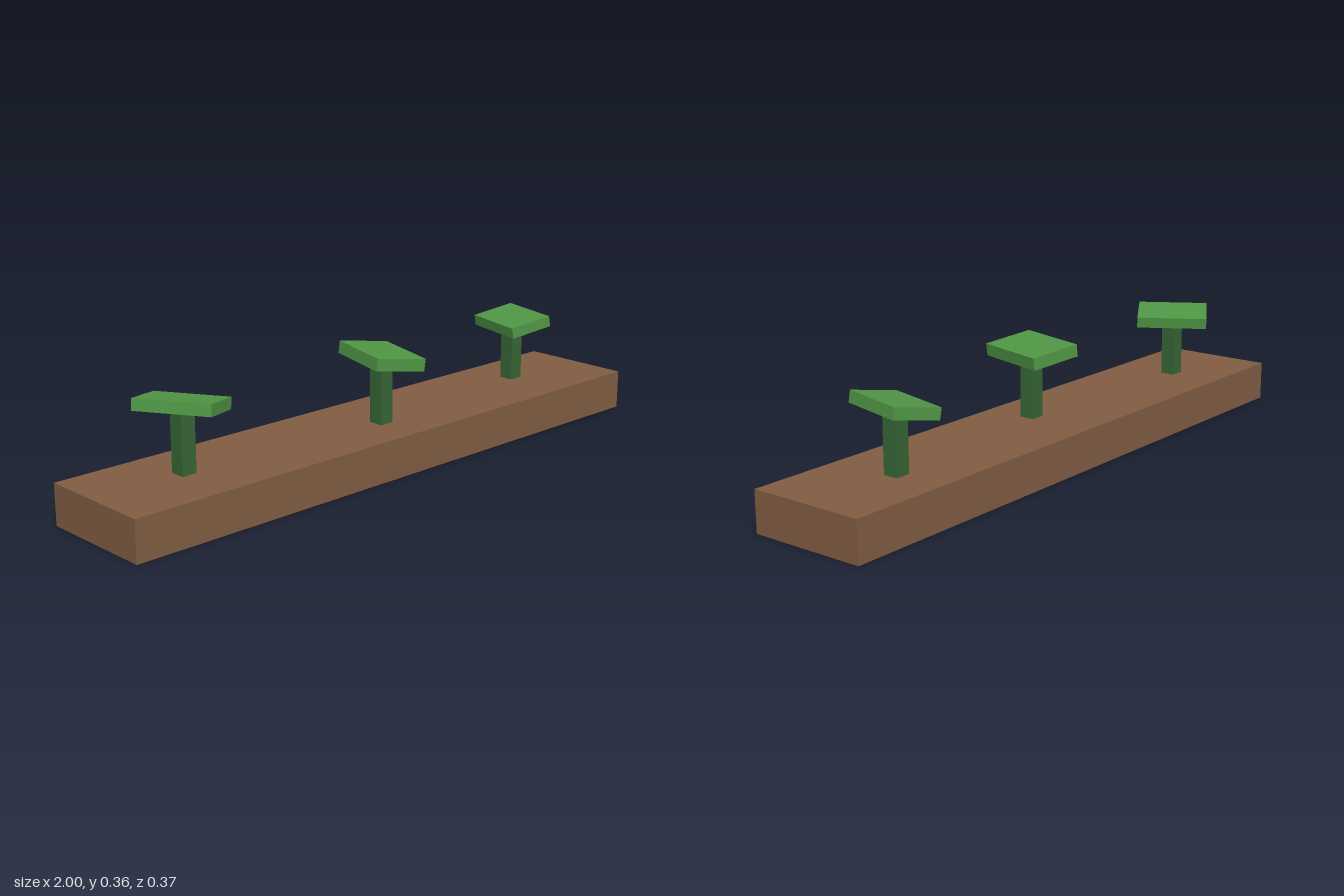
import * as THREE from 'three';

const material = (name, color) => {
  const m = new THREE.MeshStandardMaterial({ color, side: THREE.DoubleSide });
  m.name = name;
  return m;
};

// Box without its underside; the origin is at the centre of the box
function openBox(w, h, d) {
  const g = new THREE.BoxGeometry(w, h, d);
  const index = Array.from(g.index.array);
  index.splice(18, 6); // the downward face
  g.setIndex(index);
  g.clearGroups();
  return g;
}

export function createModel() {
  const soil = material('soil brown', 0x805c42);
  const leaf = material('leaf green', 0x4f9645);
  const stem = material('stem green', 0x356535);
  const model = new THREE.Group();
  model.name = 'planter';

  const add = (parent, name, geometry, mat, x, y, z) => {
    const mesh = new THREE.Mesh(geometry, mat);
    mesh.name = name;
    mesh.position.set(x, y, z);
    parent.add(mesh);
    return mesh;
  };

  // Long hollow bed
  const bedTop = 0.125;
  add(model, 'bed', openBox(2, bedTop, 0.374), soil, 0, bedTop / 2, 0);

  // Three sprouts, each a square stalk under a turned and tilted cap
  const sprouts = [
    { name: 'rightSprout', x: -0.697, z: -0.007, y: 0.324, size: [0.154, 0.035, 0.229], yaw: 0.55, tilt: -0.15 },
    { name: 'middleSprout', x: 0.017, z: 0.036, y: 0.334, size: [0.163, 0.038, 0.242], yaw: -0.27, tilt: -0.125 },
    { name: 'leftSprout', x: 0.684, z: -0.025, y: 0.32, size: [0.148, 0.035, 0.222], yaw: -0.25, tilt: 0.17 },
  ];
  for (const s of sprouts) {
    const sprout = new THREE.Group();
    sprout.name = s.name;
    sprout.position.set(s.x, 0, s.z);
    model.add(sprout);

    const top = s.y - s.size[1] / 2;
    add(sprout, 'stalk', openBox(0.048, top - bedTop, 0.048), stem, 0, (top + bedTop) / 2, 0);

    const cap = add(sprout, 'cap', openBox(...s.size), leaf, 0, s.y, 0);
    cap.rotation.set(0, s.yaw, s.tilt, 'YXZ');
  }
  return model;
}
